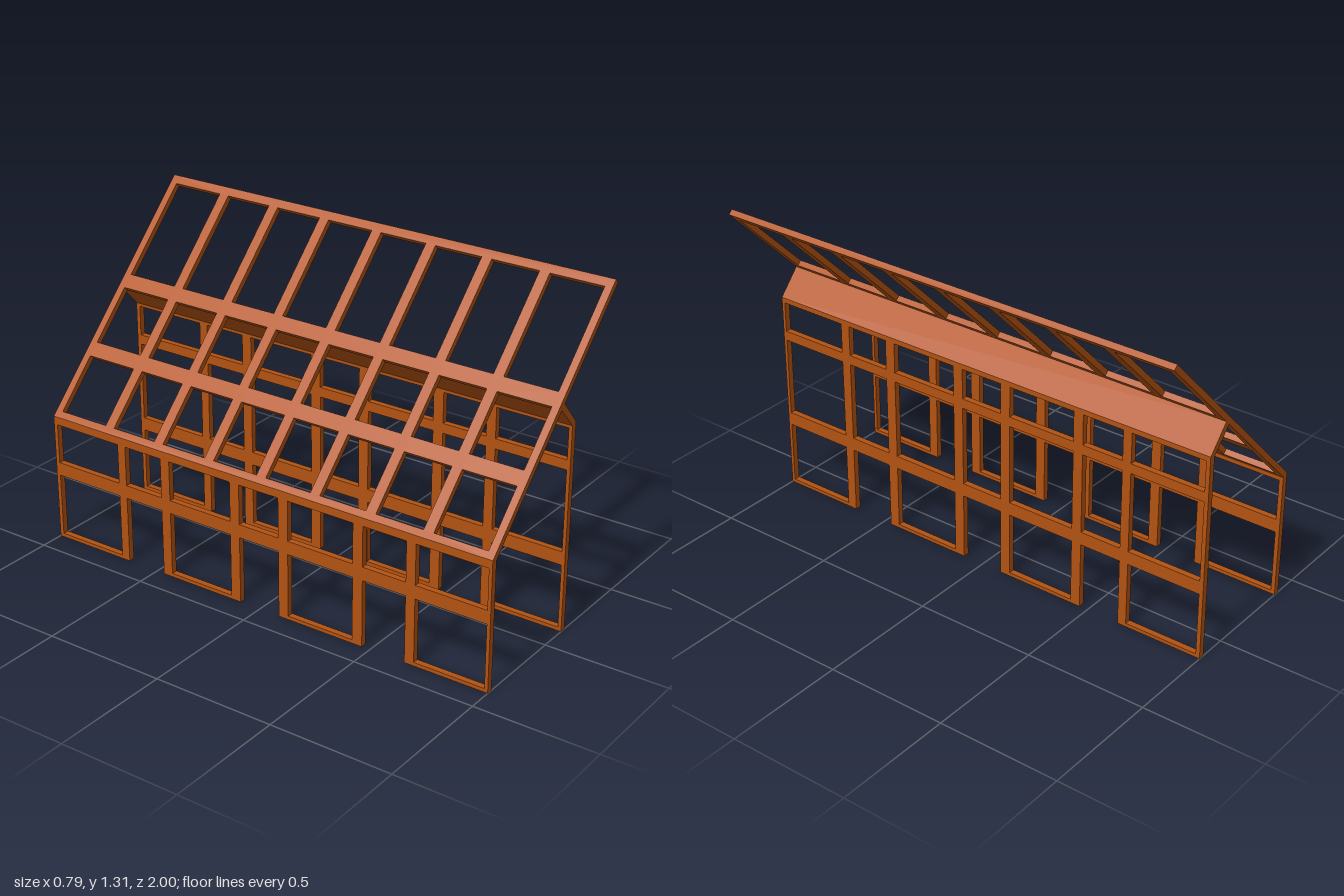
import * as THREE from 'three';

const material = new THREE.MeshStandardMaterial({ color: 0xb35312 });
const T = 0.025; // timber thickness

function polygon(points) {
  return new THREE.Shape(points.map(([x, y]) => new THREE.Vector2(x, y)));
}

function rectHole(x0, x1, y0, y1) {
  return polygon([[x0, y0], [x0, y1], [x1, y1], [x1, y0]]);
}

function extrude(shape, depth) {
  return new THREE.ExtrudeGeometry(shape, { depth, bevelEnabled: false });
}

function part(name, geometry) {
  const mesh = new THREE.Mesh(geometry, material);
  mesh.name = name;
  return mesh;
}

// Bays between the wall posts along z; every odd bay is an open doorway
const bays = [
  [-0.983, -0.675], [-0.638, -0.464], [-0.422, -0.133], [-0.09, 0.09],
  [0.133, 0.422], [0.465, 0.65], [0.69, 0.986],
];

// Stud wall drawn in (z, y); rows lists the window rows above the middle rail
function wall(name, xMax, top, rows) {
  const outline = [[-1, 0]];
  bays.forEach(([a, b], i) => {
    if (i % 2) outline.push([a, 0], [a, 0.275], [b, 0.275], [b, 0]);
  });
  outline.push([1, 0], [1, top], [-1, top]);
  const shape = polygon(outline);
  bays.forEach(([a, b], i) => {
    if (i % 2 === 0) shape.holes.push(rectHole(a, b, 0.015, 0.275));
    for (const [y0, y1] of rows) shape.holes.push(rectHole(a, b, y0, y1));
  });
  const geometry = extrude(shape, T);
  geometry.applyMatrix4(new THREE.Matrix4().makeBasis(
    new THREE.Vector3(0, 0, 1), new THREE.Vector3(0, 1, 0), new THREE.Vector3(-1, 0, 0)));
  geometry.translate(xMax, 0, 0);
  return part(name, geometry);
}

// Long roof at 45 degrees: purlins and rafters as one pierced panel
function mainRoof() {
  const k = Math.SQRT2, thick = 0.0236, x0 = -0.4;
  const length = (0.377 - x0) * k;
  const shape = polygon([[0, -1], [length, -1], [length, 1], [0, 1]]);
  const gaps = [[-0.38, -0.205], [-0.162, 0.013], [0.055, 0.352]];
  for (let i = -4; i < 4; i++) {
    const z0 = i === -4 ? -0.97 : i * 0.2425 + 0.021;
    const z1 = i === 3 ? 0.97 : (i + 1) * 0.2425 - 0.021;
    for (const [a, b] of gaps) {
      shape.holes.push(rectHole((a - x0) * k, (b - x0) * k, z0, z1));
    }
  }
  const geometry = extrude(shape, thick);
  // Cut the eave end plumb with the wall
  const p = geometry.attributes.position;
  for (let i = 0; i < p.count; i++) {
    if (p.getX(i) < 1e-4 && p.getZ(i) > 0.01) p.setX(i, -thick);
  }
  geometry.computeVertexNormals();
  geometry.applyMatrix4(new THREE.Matrix4().makeBasis(
    new THREE.Vector3(1, 1, 0).normalize(),
    new THREE.Vector3(0, 0, 1),
    new THREE.Vector3(1, -1, 0).normalize()));
  geometry.translate(x0, 0.528, 0);
  return part('mainRoofFrame', geometry);
}

// Short solid slope that drops from the long roof to the tall wall
function shortRoof() {
  const geometry = extrude(polygon([
    [0.115, 0.837], [0.14, 0.837], [0.14, 0.846], [0.05, 0.946], [0.031, 0.927],
  ]), 2);
  geometry.translate(0, 0, -1);
  return part('shortRoof', geometry);
}

export function createModel() {
  const group = new THREE.Group();
  group.name = 'timberFrameHouse';
  group.add(
    wall('lowWall', -0.375, 0.517, [[0.33, 0.5]]),
    wall('tallWall', 0.14, 0.842, [[0.33, 0.66], [0.7, 0.825]]),
    mainRoof(),
    shortRoof(),
  );
  return group;
}
